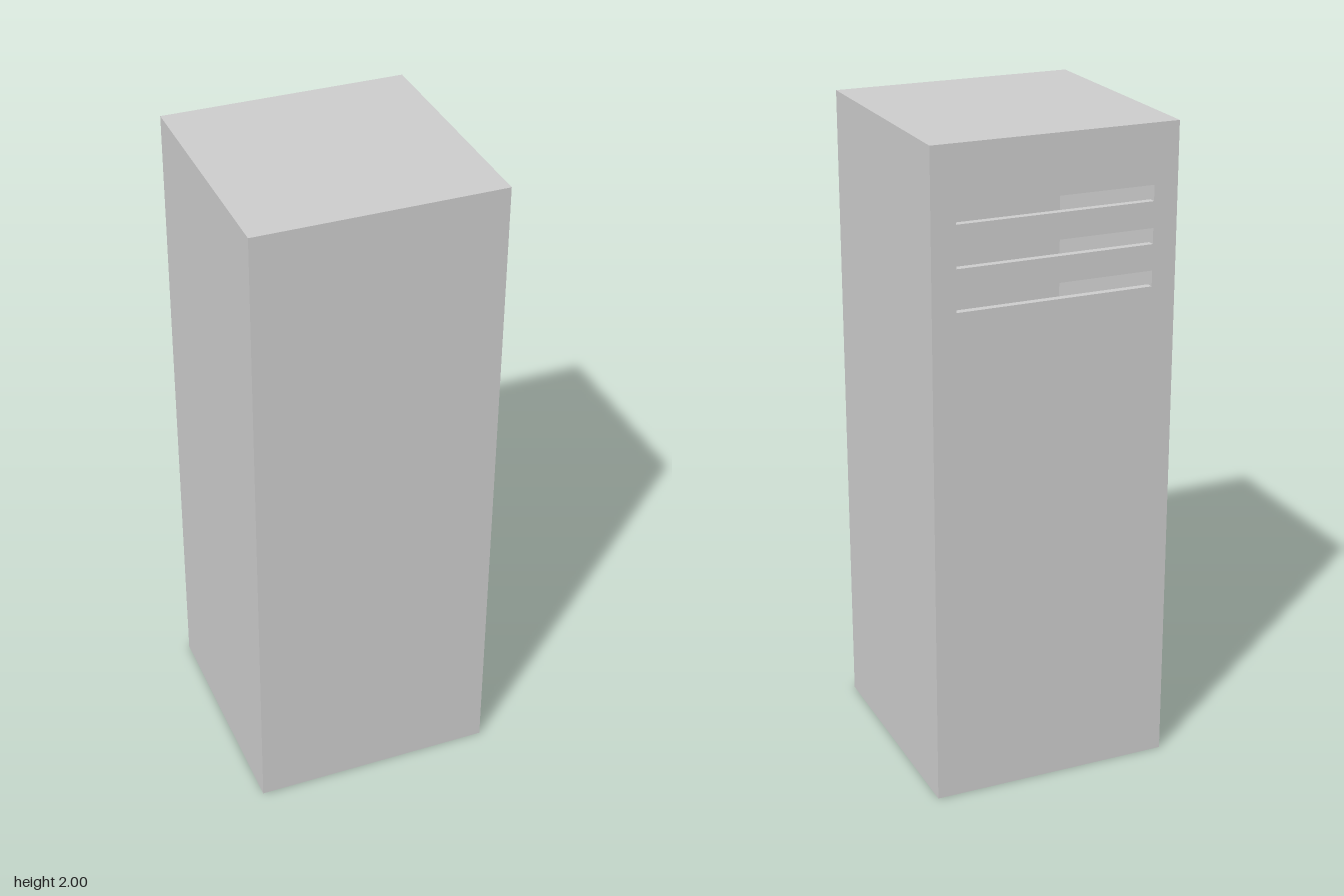
import * as THREE from 'three';

const SIZE = 0.747;   // width and depth
const HEIGHT = 2;
const WALL = 0.022;   // sheet thickness

// Adds a rectangle to a shape or path; holes run the other way round
function rect(path, x0, y0, x1, y1) {
  path.moveTo(x0, y0);
  path.lineTo(x1, y0);
  path.lineTo(x1, y1);
  path.lineTo(x0, y1);
  path.closePath();
  return path;
}

export function createModel() {
  const group = new THREE.Group();
  group.name = 'ventedCabinet';
  const material = new THREE.MeshStandardMaterial({ color: 0xcccccc, flatShading: true });
  const h = SIZE / 2;

  // Extrudes an upright outline with holes from z0 to z1
  const addPanel = (name, holes, z0, z1) => {
    const shape = rect(new THREE.Shape(), -h, 0, h, HEIGHT);
    shape.holes = holes.map((r) => rect(new THREE.Path(), ...r));
    const geometry = new THREE.ExtrudeGeometry(shape, { depth: z1 - z0, bevelEnabled: false });
    geometry.translate(0, 0, z0);
    const mesh = new THREE.Mesh(geometry, material);
    mesh.name = name;
    group.add(mesh);
  };

  // Plain front
  addPanel('frontPanel', [], h - WALL, h);

  // Hollow sleeve: both sides, top and floor
  addPanel('casing', [[-h + WALL, WALL, h - WALL, HEIGHT - WALL]], -h + WALL, h - WALL);

  // Back with three ventilation slots near the top
  const slots = [];
  for (let i = 0; i < 3; i++) {
    const top = 1.823 - i * 0.125;
    slots.push([-0.3, top - 0.047, 0.3, top]);
  }
  addPanel('ventedBackPanel', slots, -h, -h + WALL);

  return group;
}
